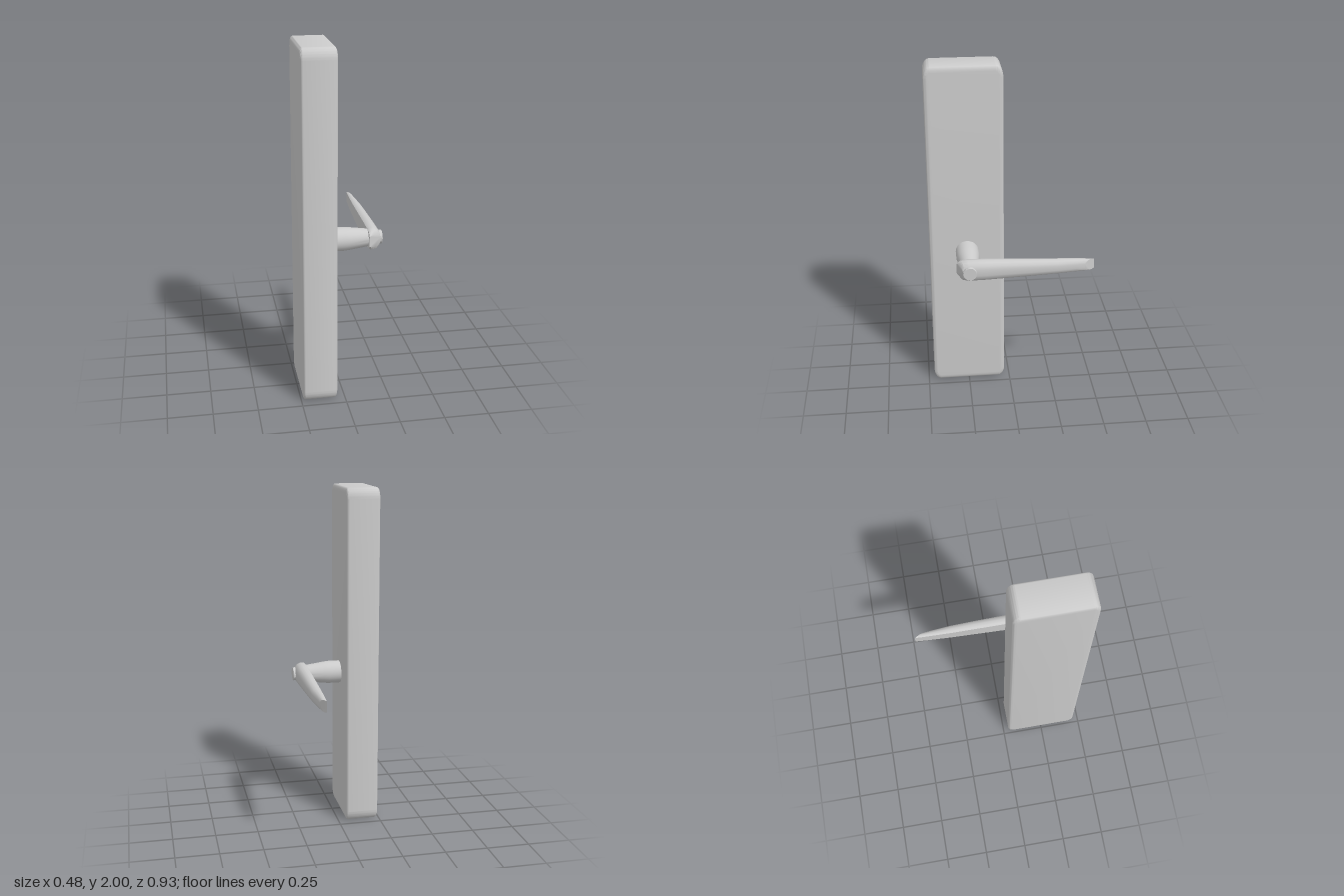
import * as THREE from 'three';
import { toCreasedNormals } from 'three/addons/utils/BufferGeometryUtils.js';

const material = new THREE.MeshStandardMaterial({ color: 0xcccccc });
const AXIS_Y = 0.89, AXIS_Z = 0.247;

function part(name, geometry, crease = 0.7) {
  const mesh = new THREE.Mesh(toCreasedNormals(geometry, crease), material);
  mesh.name = name;
  return mesh;
}

// Tall plate with rounded corners and softened rims, extruded along x
function plateGeometry() {
  const w = 0.435, stretch = 1.5, h = 2 / stretch, r = 0.042, bevel = 0.015;
  const s = new THREE.Shape();
  const a = w / 2, b = h / 2;
  s.moveTo(-a + r, -b);
  s.lineTo(a - r, -b).absarc(a - r, -b + r, r, -Math.PI / 2, 0, false);
  s.lineTo(a, b - r).absarc(a - r, b - r, r, 0, Math.PI / 2, false);
  s.lineTo(-a + r, b).absarc(-a + r, b - r, r, Math.PI / 2, Math.PI, false);
  s.lineTo(-a, -b + r).absarc(-a + r, -b + r, r, Math.PI, Math.PI * 1.5, false);
  const g = new THREE.ExtrudeGeometry(s, {
    depth: 0.195 - 2 * bevel, bevelEnabled: true, bevelThickness: bevel,
    bevelSize: 0.02, bevelOffset: -0.02, bevelSegments: 4, curveSegments: 8,
  });
  g.rotateY(Math.PI / 2);
  g.scale(1, stretch, 1);
  g.translate(-0.24 + bevel, 1, 0.2475);
  return g;
}

// Lever lofted through sheared sections: inner x, outer x, inner z, outer z, half height
function leverGeometry() {
  const sections = [
    [0.158, 0.226, 0.32, 0.287, 0.036],
    [0.158, 0.227, 0.302, 0.278, 0.056],
    [0.158, 0.228, 0.262, 0.25, 0.064],
    [0.159, 0.227, 0.15, 0.15, 0.062],
    [0.163, 0.222, -0.12, -0.12, 0.05],
    [0.165, 0.218, -0.25, -0.25, 0.044],
    [0.169, 0.208, -0.38, -0.36, 0.039],
    [0.173, 0.203, -0.465, -0.408, 0.034],
  ];
  // half outline of the cross-section, mirrored in y
  const half = [[1, 0.3], [0.93, 0.62], [0.72, 0.88], [0.45, 1], [0.15, 0.96], [0, 0.82]];
  const outline = [...half, ...half.map(([u, v]) => [u, -v]).reverse()];
  const n = outline.length, pos = [], idx = [];
  for (const [x0, x1, z0, z1, h] of sections)
    for (const [u, v] of outline)
      pos.push(x0 + (x1 - x0) * u, AXIS_Y + h * v, z0 + (z1 - z0) * u);
  for (let i = 0; i < sections.length - 1; i++)
    for (let j = 0; j < n; j++) {
      const a = i * n + j, b = i * n + (j + 1) % n;
      idx.push(a, a + n, b, b, a + n, b + n);
    }
  const last = (sections.length - 1) * n;
  for (let j = 1; j < n - 1; j++) {
    idx.push(0, j, j + 1);
    idx.push(last, last + j + 1, last + j);
  }
  const g = new THREE.BufferGeometry();
  g.setAttribute('position', new THREE.Float32BufferAttribute(pos, 3));
  g.setIndex(idx);
  return g;
}

// Turned part around the spindle axis; profile points are (radius, x)
function turned(profile) {
  const g = new THREE.LatheGeometry(profile.map(([r, x]) => new THREE.Vector2(r, x)), 32);
  g.rotateZ(-Math.PI / 2);
  g.translate(0, AXIS_Y, AXIS_Z);
  return g;
}

export function createModel() {
  const model = new THREE.Group();
  model.name = 'doorHandle';
  model.add(part('backPlate', plateGeometry(), 0.9));
  model.add(part('neck', turned([[0, -0.06], [0.067, -0.06], [0.067, 0.025], [0.063, 0.06], [0.049, 0.165], [0, 0.165]])));
  model.add(part('lever', leverGeometry()));
  model.add(part('pin', turned([[0, 0.2], [0.039, 0.2], [0.039, 0.238], [0.037, 0.24], [0, 0.24]])));
  return model;
}
